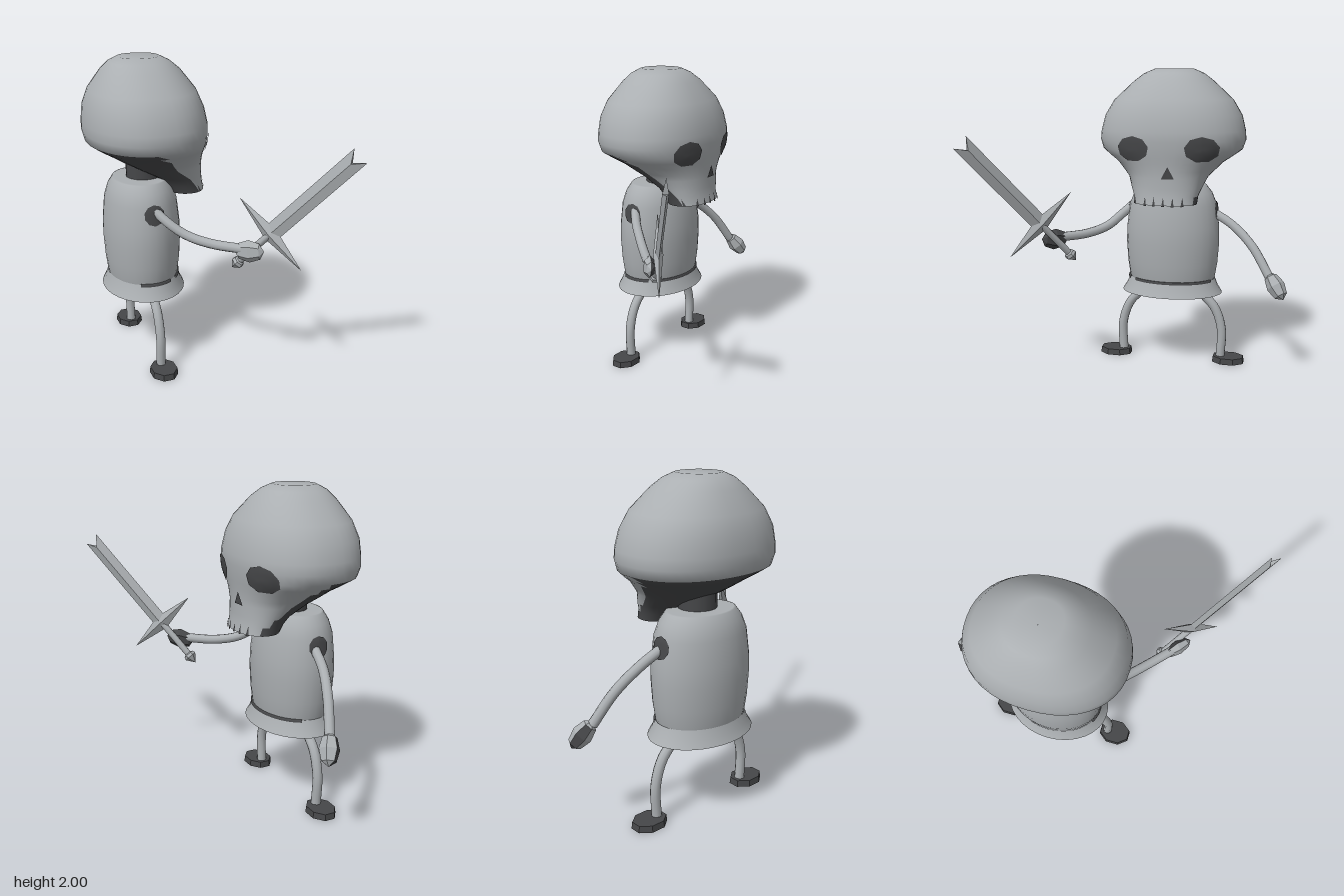
import * as THREE from 'three';

const paint = (name, color) => Object.assign(new THREE.MeshStandardMaterial({ color }), { name });
const V = (x, y, z) => new THREE.Vector3(x, y, z);

// Head sections from crown to teeth: y, half width, back z, front z
const HEAD = [
  [2.0, 0.002, 0.0, 0.004], [2.0, 0.13, -0.11, 0.15], [1.97, 0.2, -0.165, 0.21],
  [1.92, 0.265, -0.215, 0.27], [1.8, 0.395, -0.295, 0.36], [1.7, 0.455, -0.33, 0.4],
  [1.6, 0.48, -0.34, 0.42], [1.54, 0.485, -0.34, 0.42], [1.48, 0.465, -0.325, 0.415],
  [1.44, 0.41, -0.265, 0.41], [1.4, 0.35, -0.2, 0.405], [1.35, 0.3, -0.12, 0.4], [1.31, 0.26, -0.05, 0.4],
  [1.24, 0.23, 0.08, 0.4], [1.19, 0.21, 0.12, 0.405], [1.14, 0.205, 0.15, 0.415],
];
const P = 2.2; // squareness of the sections

// Torso profile: radius factor, y
const TORSO = [
  [0.88, 0.56], [0.92, 0.6], [0.97, 0.7], [1, 0.84], [0.99, 0.95],
  [0.93, 1.1], [0.83, 1.18], [0.7, 1.232], [0.66, 1.236], [0, 1.236],
];
const WIDE = 0.32, DEEP = 0.245;

function loft(rings, n = 44) {
  const pos = [], index = [];
  const bend = (v) => Math.sign(v) * Math.abs(v) ** (2 / P);
  for (const [y, a, zb, zf] of rings) {
    for (let j = 0; j < n; j++) {
      const t = (j / n) * Math.PI * 2;
      pos.push(a * bend(Math.sin(t)), y, (zb + zf) / 2 + ((zf - zb) / 2) * bend(Math.cos(t)));
    }
  }
  for (let i = 0; i < rings.length - 1; i++) {
    for (let j = 0; j < n; j++) {
      const k = (j + 1) % n, a = i * n + j, b = i * n + k, c = a + n, d = b + n;
      index.push(a, c, d, a, d, b);
    }
  }
  const g = new THREE.BufferGeometry();
  g.setAttribute('position', new THREE.Float32BufferAttribute(pos, 3));
  g.setIndex(index);
  g.computeVertexNormals();
  return g;
}

// Depth of the face surface at x, y
function faceZ(x, y) {
  let i = 1;
  while (i < HEAD.length - 2 && HEAD[i + 1][0] > y) i++;
  const f = THREE.MathUtils.clamp((HEAD[i][0] - y) / (HEAD[i][0] - HEAD[i + 1][0]), 0, 1);
  const [a, zb, zf] = [1, 2, 3].map((k) => THREE.MathUtils.lerp(HEAD[i][k], HEAD[i + 1][k], f));
  const c = Math.max(0, 1 - Math.min(1, Math.abs(x) / a) ** P) ** (1 / P);
  return (zb + zf) / 2 + ((zf - zb) / 2) * c;
}

// Half width of the torso at y, z
function torsoX(y, z) {
  const i = TORSO.findIndex((p) => p[1] > y);
  const [r0, y0] = TORSO[i - 1], [r1, y1] = TORSO[i];
  const r = THREE.MathUtils.mapLinear(y, y0, y1, r0, r1);
  return WIDE * Math.sqrt(Math.max(0, r * r - (z / DEEP) ** 2));
}

// Painted polygon whose vertices are laid onto a surface by depth(u, y)
function patch(u, y, ru, ry, sides, depth) {
  const g = new THREE.RingGeometry(0.001, 1, sides, 5, Math.PI / 2);
  g.scale(ru, ry, 1).translate(u, y, 0);
  const p = g.attributes.position;
  for (let i = 0; i < p.count; i++) p.setZ(i, depth(p.getX(i), p.getY(i)) + 0.007);
  g.computeVertexNormals();
  return g;
}

function faceted(g) {
  const f = g.index ? g.toNonIndexed() : g;
  f.computeVertexNormals();
  return f;
}

// Sort triangles into two material groups; isSecond(centre, normal) picks the second
function twoTone(g, isSecond) {
  const p = g.attributes.position, sorted = [[], []], tri = new THREE.Triangle();
  const ids = g.index ? [...g.index.array] : Array.from({ length: p.count }, (_, i) => i);
  for (let i = 0; i < ids.length; i += 3) {
    const t = ids.slice(i, i + 3);
    tri.setFromAttributeAndIndices(p, ...t);
    sorted[isSecond(tri.getMidpoint(V(0, 0, 0)), tri.getNormal(V(0, 0, 0))) ? 1 : 0].push(...t);
  }
  g.setIndex([...sorted[0], ...sorted[1]]);
  g.clearGroups();
  g.addGroup(0, sorted[0].length, 0);
  g.addGroup(sorted[0].length, sorted[1].length, 1);
  return g;
}

const tube = (pts, r) => new THREE.TubeGeometry(new THREE.CatmullRomCurve3(pts), 16, r, 10, false);
const lathe = (pts, n, ...arc) => new THREE.LatheGeometry(pts.map((p) => new THREE.Vector2(...p)), n, ...arc);

export function createModel() {
  const bone = paint('bone grey', 0xabafb2);
  const dark = paint('charcoal', 0x464749);
  const cloth = paint('cloth grey', 0xaaaeb1);
  cloth.side = THREE.DoubleSide;

  const model = new THREE.Group();
  model.name = 'skeletonSwordsman';
  const add = (parent, name, geometry, material) => {
    const m = new THREE.Mesh(geometry, material);
    m.name = name;
    parent.add(m);
    return m;
  };

  // Body, turned towards its facing direction
  const body = new THREE.Group();
  body.name = 'body';
  body.position.set(-0.505, 0, 0.135);
  body.rotation.y = 2.424;
  model.add(body);

  // Skull: dark underneath, the edge dropping towards the front teeth
  const edge = (z) => 1.48 - 0.34 * THREE.MathUtils.clamp(z / 0.36, 0, 1);
  add(body, 'skull', twoTone(loft(HEAD), (c) => c.y < edge(c.z)), [bone, dark]);
  add(body, 'mouthUnderside', loft([HEAD[HEAD.length - 1], [1.16, 0.002, 0.27, 0.274]]), dark);
  add(body, 'nose', patch(0.035, 1.335, 0.048, 0.052, 3, faceZ), dark);
  for (const x of [-0.195, 0.245]) add(body, 'eyeSocket', patch(x, 1.495, 0.108, 0.082, 9, faceZ), dark);
  for (let i = -2; i <= 2; i++) add(body, 'toothGap', patch(0.01 + i * 0.06, 1.155, 0.011, 0.04, 3, faceZ), dark);
  add(body, 'neck', new THREE.CylinderGeometry(0.115, 0.115, 0.16, 16).translate(0, 1.29, 0.03), dark);

  // Torso and skirt: oval lathes, open underneath
  const oval = (g) => g.scale(WIDE, 1, DEEP);
  add(body, 'torso', oval(lathe(TORSO, 32)), cloth);
  add(body, 'skirt', oval(lathe([[1.08, 0.49], [0.99, 0.535], [0.92, 0.59]], 32)), cloth);
  for (const [from, to] of [[-2.0, -1.1], [-0.85, 1.2]]) {
    add(body, 'beltStrip', oval(lathe([[0.95, 0.578], [0.95, 0.594], [0.91, 0.595]], 16, from, to - from)), dark);
  }

  // Legs, feet and shoulder patches
  for (const s of [-1, 1]) {
    add(body, 'leg', tube([V(s * 0.16, 0.57, 0), V(s * 0.2, 0.49, 0), V(s * 0.3, 0.38, 0),
      V(s * 0.35, 0.23, 0), V(s * 0.345, 0.03, 0)], 0.031), bone);
    add(body, 'foot', faceted(new THREE.CylinderGeometry(0.95, 1, 0.04, 8)
      .rotateY(Math.PI / 8).scale(0.115, 1, 0.09).translate(s * 0.4, 0.02, 0)), dark);
    const shoulder = patch(0, 1.06, 0.066, 0.066, 10, (u, y) => torsoX(y, u));
    add(body, 'shoulderPatch', shoulder.rotateY((s * Math.PI) / 2), dark);
  }

  // Arms
  add(model, 'leftArm', tube([V(-0.68, 1.07, -0.03), V(-0.79, 0.97, -0.17),
    V(-0.86, 0.84, -0.3), V(-0.91, 0.66, -0.42)], 0.03), bone);
  add(model, 'rightArm', tube([V(-0.34, 1.12, 0.31), V(-0.2, 1.02, 0.31), V(-0.08, 0.95, 0.29),
    V(0.08, 0.915, 0.27), V(0.28, 0.91, 0.25)], 0.03), bone);

  // Mitten hands, long axis along the arm, with dark palms
  const hand = (name, at, dir, size, isPalm) => {
    const turn = new THREE.Quaternion().setFromUnitVectors(V(0, 1, 0), dir.normalize());
    const g = faceted(new THREE.SphereGeometry(1, 6, 4).scale(...size).applyQuaternion(turn));
    add(model, name, twoTone(g, (c, n) => isPalm(n)), [bone, dark]).position.copy(at);
  };
  hand('leftHand', V(-0.925, 0.605, -0.475), V(-0.15, -0.75, -0.6), [0.062, 0.1, 0.06], (n) => n.x < -0.6);
  hand('rightHand', V(0.325, 0.9, 0.245), V(1, 0.1, -0.1), [0.07, 0.095, 0.04], (n) => n.z < 0.3);

  // Sword with a ridged, notched blade
  const sword = new THREE.Group();
  sword.name = 'sword';
  sword.position.set(0.44, 1.015, 0.195);
  sword.rotation.set(-0.04, 0, -0.76);
  model.add(sword);
  const blade = new THREE.CylinderGeometry(1, 1, 0.75, 4).translate(0, 0.375, 0).scale(0.054, 1, 0.018);
  const p = blade.attributes.position;
  for (let i = 0; i < p.count; i++) {
    if (p.getY(i) > 0.7 && Math.abs(p.getX(i)) < 0.01) p.setY(i, 0.68);
  }
  add(sword, 'blade', faceted(blade), bone);
  add(sword, 'crossguard', faceted(new THREE.OctahedronGeometry(1).scale(0.287, 0.05, 0.03)), bone);
  add(sword, 'grip', new THREE.CylinderGeometry(0.022, 0.022, 0.3, 8).translate(0, -0.15, 0), bone);
  add(sword, 'pommel', faceted(lathe([[0, -0.36], [0.042, -0.305], [0.035, -0.285], [0, -0.265]], 6)), bone);

  return model;
}
